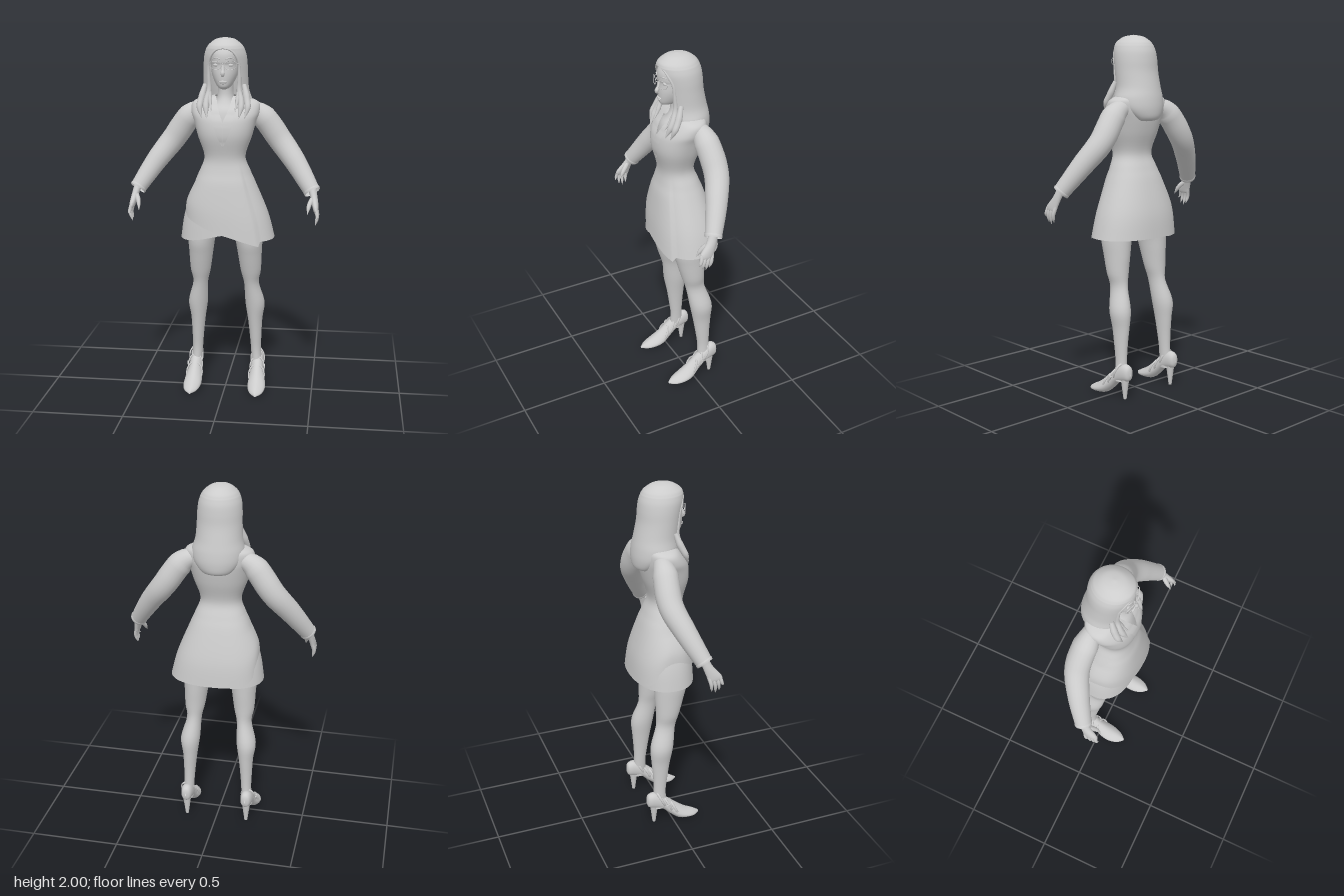
import * as THREE from 'three';
import { mergeVertices } from 'three/addons/utils/BufferGeometryUtils.js';

const V = (p) => new THREE.Vector3(...p);
const { smoothstep, lerp } = THREE.MathUtils;

// Catmull-Rom subdivision of cross-section rows
function dense(rows, m) {
  const out = [], at = (i) => rows[Math.min(Math.max(i, 0), rows.length - 1)];
  for (let i = 0; i < rows.length - 1; i++) {
    for (let k = 0; k < m; k++) {
      const t = k / m, [a, b, c, d] = [at(i - 1), at(i), at(i + 1), at(i + 2)];
      out.push(b.map((_, q) => 0.5 * (2 * b[q] + (c[q] - a[q]) * t
        + (2 * a[q] - 5 * b[q] + 4 * c[q] - d[q]) * t * t + (3 * b[q] - a[q] - 3 * c[q] + d[q]) * t * t * t)));
    }
  }
  out.push(at(rows.length - 1));
  return out;
}

function smooth(geo) {
  geo.deleteAttribute('uv');
  geo.deleteAttribute('normal');
  const g = mergeVertices(geo, 1e-5);
  g.computeVertexNormals();
  return g;
}

// Rows, top to bottom: [y, centreX, zFront, zBack, halfWidth, halfWidth of the front opening]
function loft(rows, { n = 28, m = 4, pw = 1, warp } = {}) {
  const pos = [], idx = [], rs = dense(rows, m);
  const sp = (v) => Math.sign(v) * Math.abs(v) ** pw;
  rs.forEach(([y, cx, zf, zb, rx, w = 0], i) => {
    const gap = w > 0.001 ? Math.asin(Math.min(w / rx, 0.95) ** (1 / pw)) : 0;
    for (let j = 0; j <= n; j++) {
      const a = gap + (Math.PI * 2 - 2 * gap) * j / n;
      const p = V([cx + rx * sp(Math.sin(a)), y, (zf + zb) / 2 + (zf - zb) / 2 * sp(Math.cos(a))]);
      if (warp) warp(p, a);
      pos.push(p.x, p.y, p.z);
      if (i && j < n) {
        const q = (i - 1) * (n + 1) + j, r = q + n + 1;
        idx.push(q, r, q + 1, q + 1, r, r + 1);
      }
    }
  });
  const g = new THREE.BufferGeometry();
  g.setAttribute('position', new THREE.Float32BufferAttribute(pos, 3));
  g.setIndex(idx);
  return smooth(g);
}

// Tube whose radius varies along its path
function taper(points, radii, sides = 10, steps = 20) {
  const curve = new THREE.CatmullRomCurve3(points.map(V));
  const g = new THREE.TubeGeometry(curve, steps, 1, sides), p = g.attributes.position;
  for (let i = 0; i <= steps; i++) {
    const c = curve.getPointAt(i / steps), f = i / steps * (radii.length - 1), k = Math.min(Math.floor(f), radii.length - 2);
    const r = lerp(radii[k], radii[k + 1], f - k);
    for (let j = 0; j <= sides; j++) {
      const q = i * (sides + 1) + j, v = new THREE.Vector3().fromBufferAttribute(p, q).sub(c).multiplyScalar(r).add(c);
      p.setXYZ(q, v.x, v.y, v.z);
    }
  }
  return smooth(g);
}

const ball = (c, s) => new THREE.SphereGeometry(1, 16, 12).scale(...s).translate(...c);

function mirrored(geo) {
  const g = geo.clone().scale(-1, 1, 1), ix = g.index;
  for (let i = 0; i < ix.count; i += 3) {
    const t = ix.getX(i);
    ix.setX(i, ix.getX(i + 1));
    ix.setX(i + 1, t);
  }
  return g;
}

export function createModel() {
  const grey = new THREE.MeshStandardMaterial({ color: 0xcccccc, side: THREE.DoubleSide });
  grey.name = 'light grey';
  const model = new THREE.Group();
  model.name = 'woman';
  const add = (name, geo) => {
    const mesh = new THREE.Mesh(geo, grey);
    mesh.name = name;
    model.add(mesh);
  };
  const pair = (name, geo) => {
    add(name + 'Left', geo);
    add(name + 'Right', mirrored(geo));
  };

  // Coat: open V neck, fitted waist, flared wrap skirt with a slanted hem
  const coat = [
    [1.685, 0, 0.045, -0.085, 0.06, 0.045], [1.675, 0, 0.055, -0.1, 0.12, 0.042], [1.65, 0, 0.075, -0.115, 0.18, 0.036],
    [1.6, 0, 0.112, -0.12, 0.187, 0.02], [1.55, 0, 0.135, -0.117, 0.17, 0], [1.47, 0, 0.14, -0.1, 0.148, 0],
    [1.36, 0, 0.115, -0.07, 0.113, 0], [1.28, 0, 0.12, -0.095, 0.138, 0], [1.2, 0, 0.136, -0.125, 0.172, 0],
    [1.03, 0.005, 0.16, -0.17, 0.235, 0], [0.89, 0.012, 0.172, -0.185, 0.265, 0]];
  // Raise a skirt point towards its hem while keeping it on the flared surface
  const hemTo = (p, hem) => {
    if (p.y >= 1.2) return;
    const y = 1.2 - (1.2 - p.y) * (1.2 - hem) / 0.31, k = 1 - 0.85 * (y - p.y);
    p.set(p.x * k, y, p.z * k);
  };
  add('coat', loft(coat, {
    n: 96, m: 5, pw: 0.88, warp: (p, a) => {
      const front = Math.cos(a) > 0, s = Math.sin(a), flap = front && s < 0.66;
      if (flap) p.z += 0.008 * smoothstep(1.34 - p.y, 0, 0.14) * smoothstep(Math.cos(a), 0, 0.3);
      let hem = 0.9;
      if (flap) hem = lerp(1.03, 0.875, (s + 1) / 1.66);
      else if (!front && s < 0) hem = lerp(1.03, 0.9, smoothstep(-Math.cos(a), 0, 0.9));
      hemTo(p, hem);
    },
  }));
  const under = coat.slice(7).map(([y, cx, zf, zb, rx]) => [y, cx - 0.006, zf * 0.95, zb * 0.95, rx * 0.965]);
  add('coatUnderlap', loft(under, {
    n: 64, pw: 0.88,
    warp: (p, a) => hemTo(p, Math.cos(a) > 0 ? lerp(0.893, 0.955, smoothstep(Math.sin(a), -0.9, 0.5)) : lerp(0.893, 0.955, smoothstep(Math.sin(a), -0.5, 0.9))),
  }));

  // Lapels laid on the chest surface
  const fine = dense(coat, 8);
  const chestZ = (x, y) => {
    const [, , zf, zb, rx] = fine.find((r) => r[0] <= y), s = Math.min(Math.abs(x) / rx, 1) ** (1 / 0.88);
    return (zf + zb) / 2 + (zf - zb) / 2 * Math.sqrt(1 - s * s) ** 0.88;
  };
  const lapel = new THREE.PlaneGeometry(1, 1, 6, 20), lp = lapel.attributes.position;
  for (let i = 0; i < lp.count; i++) {
    const u = lp.getX(i) + 0.5, t = 0.5 - lp.getY(i), y = lerp(1.645, 1.42, t);
    const x = Math.max(0, 0.036 * (1 - t / 0.42)) + u * 0.05 * Math.sin(Math.PI * (0.25 + t * 0.75)) + 0.001;
    lp.setXYZ(i, x, y, chestZ(x, y) + 0.004);
  }
  pair('lapel', smooth(lapel));

  // Sleeves
  pair('sleeve', taper([[0.12, 1.615, -0.045], [0.19, 1.58, -0.052], [0.3, 1.435, -0.06], [0.388, 1.32, -0.015], [0.483, 1.175, 0.055]],
    [0.042, 0.067, 0.068, 0.065, 0.06, 0.053, 0.045], 20, 30));
  pair('cuff', taper([[0.475, 1.187, 0.049], [0.485, 1.172, 0.057]], [0.045, 0.048, 0.046], 20, 4));

  // Hands
  pair('palm', loft([[1.2, 0.478, 0.075, 0.025, 0.024], [1.15, 0.493, 0.1, 0.042, 0.02], [1.1, 0.504, 0.142, 0.06, 0.017],
    [1.075, 0.508, 0.145, 0.068, 0.012], [1.07, 0.508, 0.12, 0.09, 0.002]], { n: 16 }));
  for (let i = 0; i < 4; i++) {
    pair('finger' + (i + 1), taper([[0.504, 1.1, 0.073 + 0.019 * i], [0.515, 1.05, 0.083 + 0.021 * i], [0.505, 0.998 + 0.01 * (i - 1) ** 2, 0.09 + 0.021 * i]],
      [0.011, 0.011, 0.01, 0.008, 0.0005], 8, 12));
  }
  pair('thumb', taper([[0.492, 1.15, 0.075], [0.47, 1.11, 0.115], [0.462, 1.065, 0.145]], [0.014, 0.014, 0.011, 0.0005], 8, 12));

  // Legs
  pair('leg', loft([
    [1.1, 0.1, 0.1, -0.1, 0.095], [0.9, 0.131, 0.102, -0.09, 0.077], [0.8, 0.138, 0.08, -0.086, 0.067], [0.7, 0.143, 0.052, -0.081, 0.057],
    [0.62, 0.146, 0.028, -0.085, 0.042], [0.5, 0.164, 0.01, -0.122, 0.055], [0.4, 0.165, -0.009, -0.118, 0.042],
    [0.3, 0.168, -0.025, -0.11, 0.034], [0.2, 0.171, -0.037, -0.108, 0.029], [0.1, 0.178, -0.03, -0.12, 0.031]]));

  // Pointed shoes, lofted from heel to toe: [z, x, top, bottom, halfWidth]
  const shoe = loft([
    [-0.155, 0.177, 0.16, 0.14, 0.004], [-0.145, 0.177, 0.19, 0.112, 0.025], [-0.11, 0.178, 0.2, 0.1, 0.034], [-0.06, 0.179, 0.172, 0.082, 0.036],
    [-0.02, 0.181, 0.143, 0.045, 0.039], [0.03, 0.184, 0.1, 0.008, 0.051], [0.08, 0.186, 0.062, 0.001, 0.051],
    [0.13, 0.187, 0.036, 0, 0.036], [0.165, 0.187, 0.016, 0.004, 0.006]], {
    n: 24, pw: 0.9, warp: (p, a) => { p.x = lerp(p.x, 0.18, 0.4 * Math.max(0, Math.cos(a) + 0.2) * smoothstep(p.y, -0.1, 0.03)); },
  });
  const sp = shoe.attributes.position;
  for (let i = 0; i < sp.count; i++) sp.setXYZ(i, sp.getX(i), sp.getZ(i), sp.getY(i));
  shoe.computeVertexNormals();
  pair('shoe', shoe);
  pair('heel', new THREE.CylinderGeometry(0.026, 0.009, 0.13, 14, 4).translate(0.178, 0.065, -0.111));
  [[0.108, -0.026, 0.041, 0.06], [0.075, 0.012, 0.045, 0.058], [0.15, -0.07, 0.039, 0.056]].forEach(([y, z, w, h], i) => {
    pair('strap' + (i + 1), new THREE.TorusGeometry(1, 0.1, 8, 28).scale(w, h, 0.07).rotateX(-0.45).translate(0.181, y, z));
  });
  pair('buckle', new THREE.BoxGeometry(0.008, 0.022, 0.022).rotateX(-0.5).translate(0.223, 0.115, -0.03));

  // Head and neck
  add('head', loft([
    [1.985, 0, 0.01, -0.01, 0.002], [1.965, 0, 0.075, -0.07, 0.05], [1.92, 0, 0.112, -0.1, 0.076], [1.875, 0, 0.117, -0.1, 0.077],
    [1.855, 0, 0.112, -0.1, 0.076], [1.81, 0, 0.116, -0.08, 0.07], [1.77, 0, 0.115, -0.05, 0.055], [1.738, 0, 0.108, -0.01, 0.034],
    [1.725, 0, 0.08, 0.04, 0.008]], { pw: 0.92 }));
  add('neck', loft([[1.79, 0, 0.05, -0.06, 0.045], [1.7, 0, 0.045, -0.065, 0.043], [1.65, 0, 0.065, -0.08, 0.06],
    [1.6, 0, 0.1, -0.09, 0.11], [1.5, 0, 0.12, -0.08, 0.12]]));
  add('nose', taper([[0, 1.862, 0.11], [0, 1.83, 0.119], [0, 1.806, 0.127], [0, 1.798, 0.112]], [0.005, 0.008, 0.012, 0.004], 10, 14));
  add('upperLip', ball([0, 1.771, 0.114], [0.023, 0.005, 0.007]));
  add('lowerLip', ball([0, 1.763, 0.113], [0.019, 0.006, 0.007]));
  pair('eye', ball([0.037, 1.857, 0.1], [0.017, 0.008, 0.007]));
  pair('eyebrow', taper([[0.014, 1.888, 0.115], [0.036, 1.895, 0.109], [0.06, 1.887, 0.089]], [0.003, 0.004, 0.001], 6, 10));

  // Glasses
  const rim = new THREE.TorusGeometry(1, 0.07, 6, 40), rp = rim.attributes.position;
  const square = (v) => Math.sign(v) * Math.abs(v) ** 0.75;
  for (let i = 0; i < rp.count; i++) {
    const x = 0.041 + square(rp.getX(i)) * 0.032, y = 1.857 + square(rp.getY(i)) * 0.021;
    rp.setXYZ(i, x, y, 0.127 - x * x * 4 + rp.getZ(i) * 0.03);
  }
  pair('glassesRim', smooth(rim));
  add('glassesBridge', taper([[-0.009, 1.862, 0.127], [0, 1.865, 0.129], [0.009, 1.862, 0.127]], [0.002, 0.002], 6, 8));
  pair('glassesTemple', taper([[0.073, 1.863, 0.105], [0.081, 1.863, 0.08], [0.083, 1.86, 0]], [0.002, 0.002], 6, 10));

  // Hair: long shell open over the face, with front locks
  add('hair', loft([
    [2, 0, 0.01, 0.01, 0, 0], [1.99, 0, 0.065, -0.05, 0.05, 0], [1.965, 0, 0.105, -0.09, 0.085, 0], [1.947, 0, 0.116, -0.104, 0.099, 0],
    [1.935, 0, 0.118, -0.11, 0.105, 0.038], [1.905, 0, 0.118, -0.12, 0.114, 0.066], [1.86, 0, 0.11, -0.126, 0.119, 0.08],
    [1.8, 0, 0.1, -0.131, 0.121, 0.08], [1.72, 0, 0.09, -0.147, 0.126, 0.078],
    [1.66, 0.003, 0.09, -0.159, 0.14, 0.08], [1.6, 0.003, 0.085, -0.163, 0.136, 0.09], [1.55, 0, 0.05, -0.152, 0.1, 0.085],
    [1.535, 0, 0.02, -0.11, 0.065, 0.055]], {
    n: 48, m: 5, warp: (p, a) => {
      if (p.y < 1.68) p.y += (1.68 - p.y) * 0.45 * smoothstep(Math.cos(a), -0.8, 0.3);
    },
  }));
  pair('hairFrontEdge', taper([[0, 1.946, 0.113], [0.038, 1.936, 0.106], [0.066, 1.906, 0.093], [0.081, 1.86, 0.074], [0.083, 1.8, 0.066],
    [0.082, 1.72, 0.062], [0.095, 1.65, 0.088], [0.086, 1.575, 0.126]], [0.004, 0.006, 0.008, 0.009, 0.012, 0.016, 0.017, 0.001], 10, 40));
  pair('hairSideLock', taper([[0.105, 1.75, 0.04], [0.122, 1.68, 0.065], [0.13, 1.63, 0.09], [0.115, 1.575, 0.11]], [0.012, 0.019, 0.017, 0.001]));
  pair('hairInnerLock', taper([[0.082, 1.74, 0.055], [0.074, 1.67, 0.08], [0.064, 1.61, 0.117]], [0.01, 0.012, 0.001]));
  return model;
}
